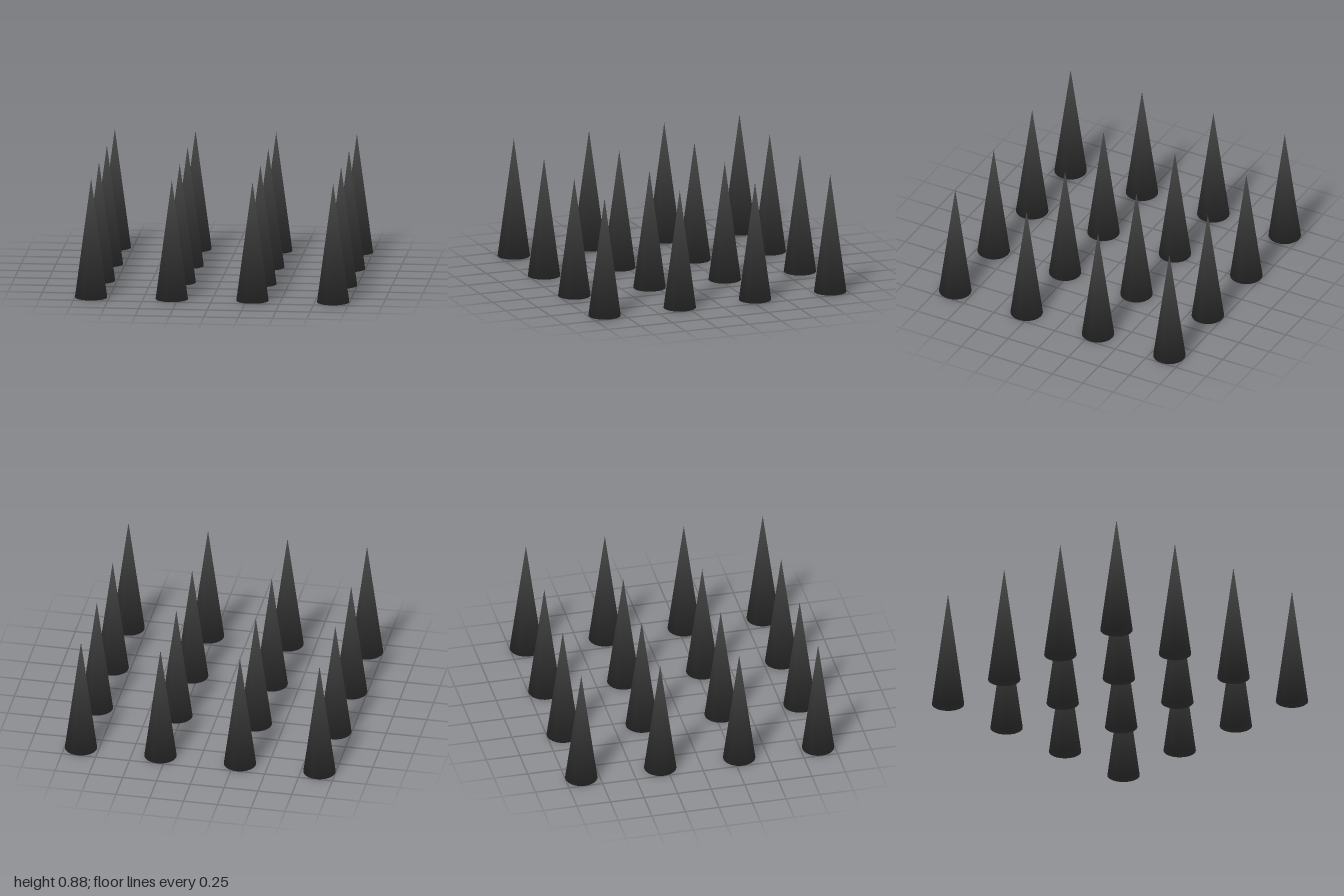
import * as THREE from 'three';
import { mergeVertices } from 'three/addons/utils/BufferGeometryUtils.js';

const RADIUS = 0.1176, HEIGHT = 0.88, SPACING = 0.588, COUNT = 4;

// Closed cone whose side and base share softly blended normals
function spikeGeometry() {
  const cone = new THREE.ConeGeometry(RADIUS, HEIGHT, 32);
  cone.translate(0, HEIGHT / 2, 0);
  cone.deleteAttribute('uv');
  cone.deleteAttribute('normal');
  const geometry = mergeVertices(cone, 1e-4);
  geometry.computeVertexNormals();

  // Tip points up, rim leans outward and down, base centre points down
  const pos = geometry.attributes.position, normal = geometry.attributes.normal;
  const n = new THREE.Vector3();
  for (let i = 0; i < pos.count; i++) {
    if (pos.getY(i) > HEIGHT / 2) n.set(0, 1, 0);
    else n.set(pos.getX(i), -RADIUS * 0.8, pos.getZ(i)).normalize();
    normal.setXYZ(i, n.x, n.y, n.z);
  }
  return geometry;
}

export function createModel() {
  const group = new THREE.Group();
  group.name = 'spikeField';
  const geometry = spikeGeometry();
  const material = new THREE.MeshStandardMaterial({ color: 0x444444 });

  // Square grid of spikes
  const offset = (COUNT - 1) / 2;
  for (let row = 0; row < COUNT; row++) {
    for (let col = 0; col < COUNT; col++) {
      const spike = new THREE.Mesh(geometry, material);
      spike.name = `spike${row * COUNT + col + 1}`;
      spike.position.set((col - offset) * SPACING, 0, (row - offset) * SPACING);
      group.add(spike);
    }
  }
  return group;
}
